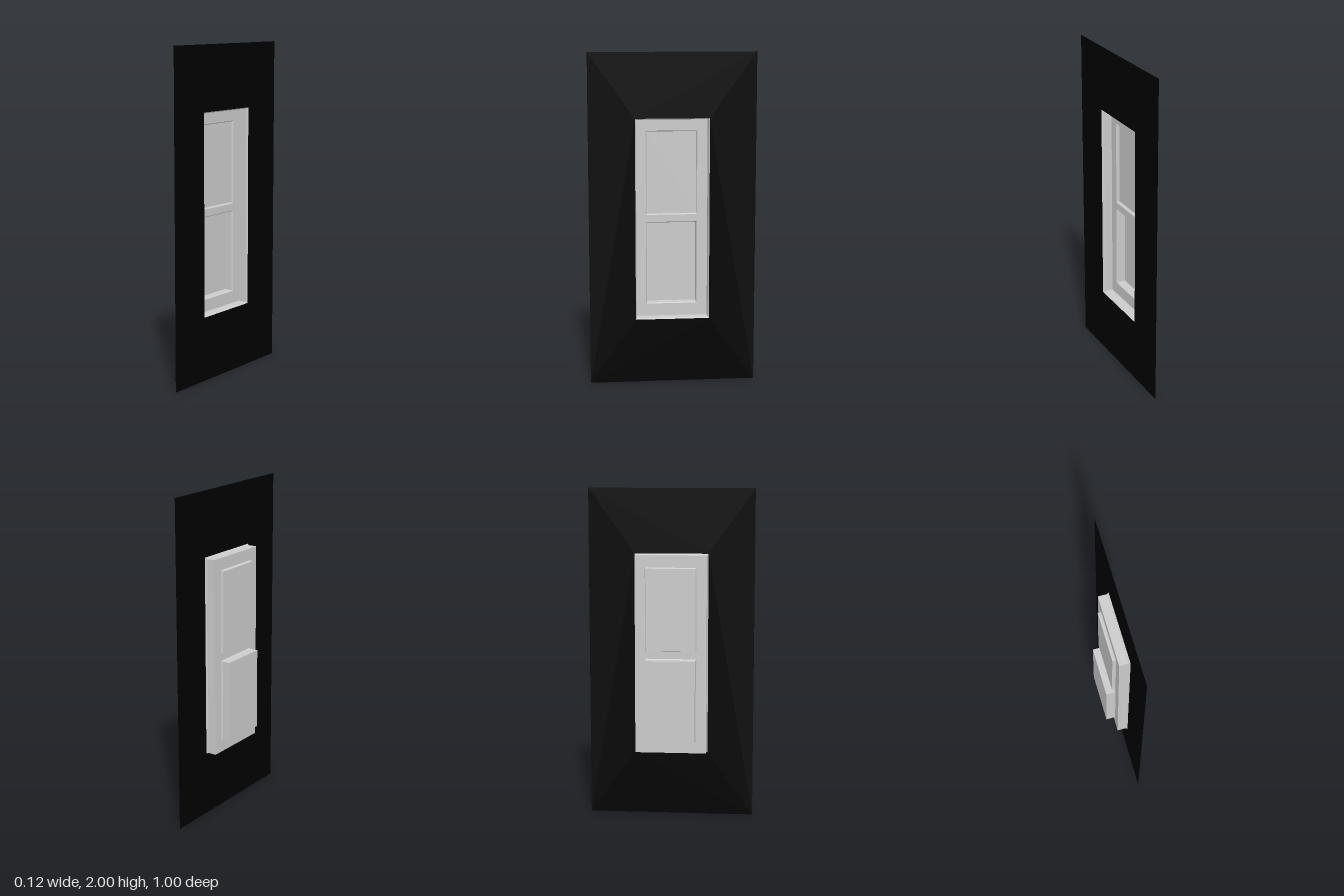
import * as THREE from 'three';

const grey = new THREE.MeshStandardMaterial({ color: 0xcccccc, side: THREE.DoubleSide, flatShading: true });
const black = new THREE.MeshStandardMaterial({ color: 0x000000, side: THREE.DoubleSide });

// Rectangle in the z-y plane: half width along z, bottom and top.
function trace(path, [h, y0, y1]) {
  path.moveTo(-h, y0);
  path.lineTo(h, y0);
  path.lineTo(h, y1);
  path.lineTo(-h, y1);
  path.closePath();
  return path;
}

// Flat sheet at a given x, facing +x, with rectangular openings.
function sheet(name, x, rect, openings, material) {
  const shape = trace(new THREE.Shape(), rect);
  shape.holes = openings.map((o) => trace(new THREE.Path(), o));
  const geometry = new THREE.ShapeGeometry(shape);
  geometry.rotateY(Math.PI / 2).translate(x, 0, 0);
  const mesh = new THREE.Mesh(geometry, material);
  mesh.name = name;
  return mesh;
}

// Four-sided sleeve through rectangles [x, halfWidth, bottom, top], mouth first.
function sleeve(name, rings) {
  const loops = rings.map(([x, h, y0, y1]) => [[x, y0, h], [x, y0, -h], [x, y1, -h], [x, y1, h]]);
  const points = [];
  for (let r = 0; r < loops.length - 1; r++) {
    for (let i = 0; i < 4; i++) {
      const j = (i + 1) % 4;
      const [a, b, c, d] = [loops[r][i], loops[r][j], loops[r + 1][j], loops[r + 1][i]];
      points.push(...a, ...b, ...c, ...a, ...c, ...d);
    }
  }
  const geometry = new THREE.BufferGeometry();
  geometry.setAttribute('position', new THREE.Float32BufferAttribute(points, 3));
  geometry.computeVertexNormals();
  const mesh = new THREE.Mesh(geometry, grey);
  mesh.name = name;
  return mesh;
}

export function createModel() {
  const model = new THREE.Group();
  model.name = 'recessedWindow';

  const wallX = 0.059;
  const backX = -0.005;
  const mouth = [0.2225, 0.39, 1.61];
  const frame = [0.2165, 0.397, 1.603];

  // Thin wall with the window opening
  model.add(sheet('wall', wallX, [0.5, 0, 2], [mouth], black));

  // Reveal: flared lip, then straight sides
  model.add(sleeve('reveal', [
    [wallX, ...mouth],
    [0.054, 0.219, 0.3935, 1.6065],
    [0.047, ...frame],
    [backX, ...frame],
  ]));

  // Two recessed panes, the lower one set deeper
  const panes = [
    { name: 'upperPane', y0: 1.023, y1: 1.531, depth: -0.025 },
    { name: 'lowerPane', y0: 0.472, y1: 0.979, depth: -0.061 },
  ];
  model.add(sheet('sashFrame', backX, frame, panes.map((p) => [0.155, p.y0, p.y1]), grey));

  for (const { name, y0, y1, depth } of panes) {
    const inner = [0.15, y0 + 0.005, y1 - 0.005];
    const pane = new THREE.Group();
    pane.name = name;
    pane.add(sleeve(name + 'Sides', [[backX, 0.155, y0, y1], [-0.013, ...inner], [depth, ...inner]]));
    pane.add(sheet(name + 'Glass', depth, inner, [], grey));
    model.add(pane);
  }
  return model;
}
